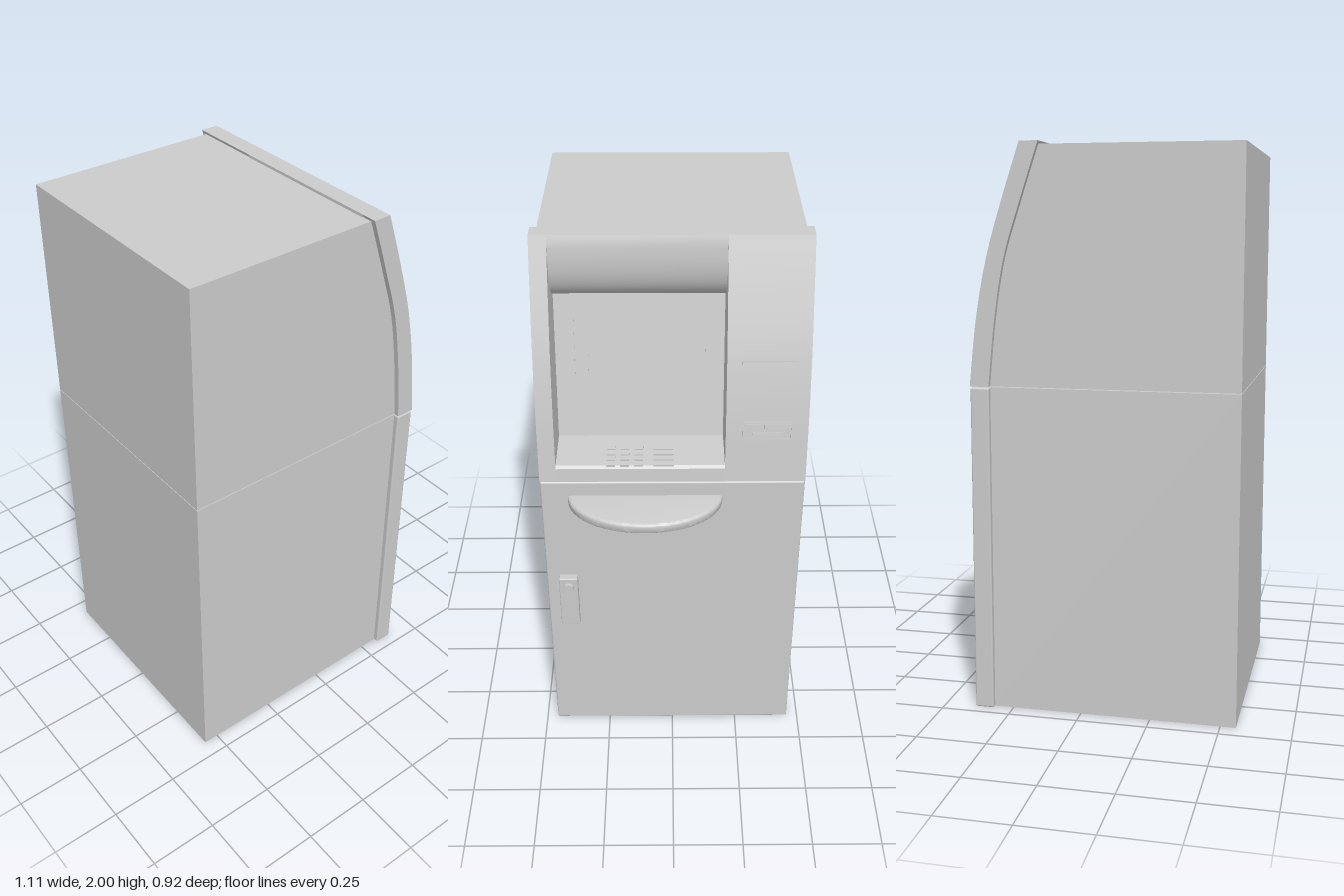
import * as THREE from 'three';
import { toCreasedNormals } from 'three/addons/utils/BufferGeometryUtils.js';
import { RoundedBoxGeometry } from 'three/addons/geometries/RoundedBoxGeometry.js';

const mat = new THREE.MeshStandardMaterial({ color: 0xcccccc });
const V = (x, y) => new THREE.Vector2(x, y);

function add(parent, name, geo, x = 0, y = 0, z = 0) {
  const m = new THREE.Mesh(geo, mat);
  m.name = name;
  m.position.set(x, y, z);
  parent.add(m);
  return m;
}
function box(parent, name, x0, x1, y0, y1, z0, z1) {
  return add(parent, name, new THREE.BoxGeometry(x1 - x0, y1 - y0, z1 - z0),
    (x0 + x1) / 2, (y0 + y1) / 2, (z0 + z1) / 2);
}
// Side profile (x, y) extruded from z0 to z1
function slab(parent, name, pts, z0, z1) {
  const geo = new THREE.ExtrudeGeometry(new THREE.Shape(pts), { depth: z1 - z0, bevelEnabled: false });
  return add(parent, name, toCreasedNormals(geo, 0.35), 0, 0, z0);
}
// Rectangular rim facing +x, centred on its own origin
function rim(parent, name, w, h, t, depth, y = 0, z = 0) {
  const rect = (C, a, b) => new C([V(-a, -b), V(a, -b), V(a, b), V(-a, b)]);
  const s = rect(THREE.Shape, w / 2, h / 2);
  s.holes.push(rect(THREE.Path, w / 2 - t, h / 2 - t));
  const geo = new THREE.ExtrudeGeometry(s, { depth, bevelEnabled: false });
  geo.rotateY(Math.PI / 2);
  return add(parent, name, geo, 0, y, z);
}
function frame(parent, name, x, y, z, tilt) {
  const g = new THREE.Group();
  g.name = name;
  g.position.set(x, y, z);
  g.rotation.z = tilt;
  parent.add(g);
  return g;
}

export function createModel() {
  const root = new THREE.Group();
  root.name = 'cashMachine';
  const BACK = -0.555, SEAM = 1.17, TOP = 1.99;
  const zL = 0.4, zR = -0.18; // recess sides

  // Lower cabinet and door
  box(root, 'lowerCabinet', BACK, 0.32, 0, SEAM - 0.003, -0.438, 0.438);
  add(root, 'door', new RoundedBoxGeometry(0.067, SEAM - 0.004, 0.916, 2, 0.006), 0.3535, (SEAM - 0.004) / 2, 0);

  // Curved front and rear edges of the fascia, top to bottom
  const front = new THREE.SplineCurve([V(0.2, 2), V(0.265, 1.805), V(0.322, 1.61), V(0.362, 1.4), V(0.388, SEAM)]).getPoints(24);
  const rear = new THREE.SplineCurve([V(0.135, 2), V(0.2, 1.805), V(0.26, 1.61), V(0.296, 1.4), V(0.32, SEAM)]).getPoints(24);
  const sideBody = [V(BACK, SEAM), V(BACK, TOP), V(0.138, TOP), ...rear.slice(1)];
  const sideFascia = [...front, ...rear.slice().reverse()];

  // Middle slice: sill, ledge, sloping panel and rounded hood
  const hood = new THREE.CubicBezierCurve(V(0.11, 1.755), V(0.19, 1.77), V(0.222, 1.86), V(0.207, 1.978)).getPoints(16);
  const middle = [V(BACK, SEAM), V(0.388, SEAM), V(0.383, 1.22), V(0.376, 1.23), V(0.205, 1.24),
    ...hood, V(0.2, 2), V(0.135, 2), V(0.135, TOP), V(BACK, TOP)];
  slab(root, 'upperCabinetMiddle', middle, zR, zL);
  slab(root, 'upperCabinetLeft', sideBody, zL, 0.438);
  slab(root, 'upperCabinetRight', sideBody, -0.438, zR);
  slab(root, 'fasciaLeft', sideFascia, zL, 0.458);
  slab(root, 'fasciaRight', sideFascia, -0.458, zR);

  // Screen and cash slot on the sloping panel
  const panel = frame(root, 'screenPanel', 0.205, 1.24, 0, Math.atan2(0.095, 0.515));
  rim(panel, 'screenSurround', 0.46, 0.28, 0.006, 0.003, 0.325, 0.11);
  box(panel, 'screen', 0, 0.003, 0.2, 0.45, -0.045, 0.27);
  for (const z of [-0.085, 0.305])
    for (let i = 0; i < 4; i++)
      box(panel, 'screenButton', 0, 0.004, 0.225 + i * 0.052, 0.25 + i * 0.052, z - 0.018, z + 0.018);
  rim(panel, 'cashSlotRim', 0.27, 0.032, 0.007, 0.012, 0.1, 0.105);
  box(panel, 'cashSlotLip', 0, 0.006, 0.097, 0.103, -0.022, 0.232);

  // Keypad on the ledge: three digit columns and a wide function column
  const pad = frame(root, 'keypad', 0.29, 1.235, 0, -Math.atan2(0.01, 0.171));
  for (let r = 0; r < 4; r++)
    for (const [z, w] of [[0.212, 0.03], [0.164, 0.03], [0.116, 0.03], [0.03, 0.07]]) {
      const x = -0.02 + r * 0.03;
      box(pad, 'key', x, x + 0.021, -0.002, 0.005, z - w / 2, z + w / 2);
    }

  // Receipt slot and card reader on the right fascia
  const receipt = frame(root, 'receiptSlot', 0.322, 1.605, -0.32, 0.24);
  box(receipt, 'receiptLip', -0.01, 0.016, -0.004, 0.004, -0.09, 0.09);
  const reader = frame(root, 'cardReader', 0.367, 1.365, -0.32, 0.14);
  rim(reader, 'readerRim', 0.17, 0.068, 0.006, 0.007);
  box(reader, 'readerUpperLip', -0.01, 0.012, 0.008, 0.026, -0.078, 0.01);
  box(reader, 'readerLowerLip', -0.01, 0.009, -0.026, -0.006, -0.05, 0.05);
  box(reader, 'readerSideBlock', -0.01, 0.007, 0.004, 0.024, 0.025, 0.076);

  // Half-oval shelf with rounded rim
  const oval = new THREE.Shape();
  oval.absellipse(0.37, -0.095, 0.173, 0.258, -Math.PI / 2, Math.PI / 2, false);
  const shelf = new THREE.ExtrudeGeometry(oval, {
    depth: 0.016, bevelThickness: 0.012, bevelSize: 0.012, bevelSegments: 4, curveSegments: 40,
  });
  shelf.rotateX(-Math.PI / 2);
  add(root, 'shelf', toCreasedNormals(shelf, 0.6), 0, 1.082, 0);

  // Door lock plate with knob
  add(root, 'lockPlate', new RoundedBoxGeometry(0.04, 0.22, 0.068, 2, 0.004), 0.394, 0.64, 0.379);
  const knob = new THREE.CylinderGeometry(0.018, 0.02, 0.018, 20).rotateZ(-Math.PI / 2);
  add(root, 'lockKnob', knob, 0.416, 0.712, 0.379);
  box(root, 'lockLever', 0.41, 0.42, 0.685, 0.712, 0.372, 0.386);

  return root;
}
